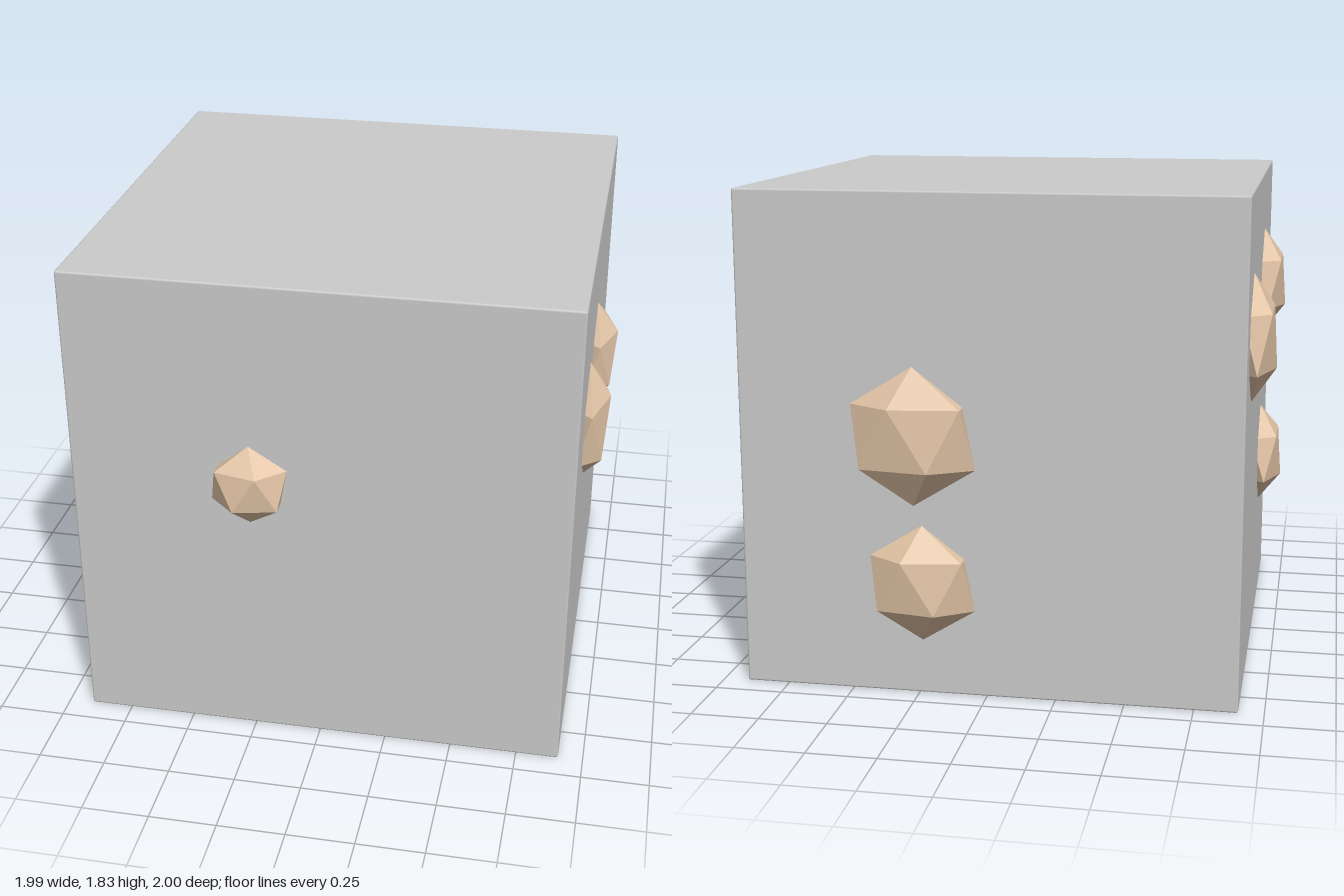
import * as THREE from 'three';
import { RoundedBoxGeometry } from 'three/addons/geometries/RoundedBoxGeometry.js';
import { ConvexGeometry } from 'three/addons/geometries/ConvexGeometry.js';

// Unit icosahedron with its poles on y; upper ring points to +x, lower ring to -x
function lumpGeometry() {
  const h = 1 / Math.sqrt(5), r = 2 * h;
  const points = [new THREE.Vector3(0, 1, 0), new THREE.Vector3(0, -1, 0)];
  for (let i = 0; i < 5; i++) {
    const a = (i * 2 * Math.PI) / 5;
    points.push(new THREE.Vector3(r * Math.cos(a), h, r * Math.sin(a)));
    points.push(new THREE.Vector3(-r * Math.cos(a), -h, r * Math.sin(a)));
  }
  return new ConvexGeometry(points);
}

export function createModel() {
  const model = new THREE.Group();
  model.name = 'studdedBlock';
  const stone = new THREE.MeshStandardMaterial({ color: 0xcccccc });
  const tan = new THREE.MeshStandardMaterial({ color: 0xe2c4a6, flatShading: true });

  // Block with a very fine edge bevel
  const half = 0.908;
  const block = new THREE.Mesh(new RoundedBoxGeometry(2 * half, 1.828, 2 * half, 1, 0.008), stone);
  block.name = 'block';
  block.position.y = 0.916;
  model.add(block);

  // Flattened lumps on the side walls: [wall, position along wall, y, radius, depth]
  const lumps = [
    ['+x', 0.39, 1.17, 0.23, 0.092],
    ['+x', 0.055, 1.29, 0.2, 0.092],
    ['-x', -0.57, 1.295, 0.235, 0.1],
    ['-x', 0.26, 1.39, 0.21, 0.1],
    ['-x', 0.33, 0.66, 0.2, 0.1],
    ['+z', -0.245, 1.06, 0.155, 0.106],
    ['-z', 0.265, 0.96, 0.253, 0.107],
    ['-z', 0.235, 0.42, 0.215, 0.107],
  ];
  const geometry = lumpGeometry();
  lumps.forEach(([wall, along, y, radius, depth], i) => {
    const lump = new THREE.Mesh(geometry, tan);
    lump.name = `lump${i + 1}`;
    const out = wall[0] === '+' ? half : -half;
    if (wall[1] === 'x') {
      lump.position.set(out, y, along);
      lump.scale.set(depth, radius, radius);
    } else {
      lump.position.set(along, y, out);
      lump.scale.set(radius, radius, depth);
    }
    model.add(lump);
  });
  return model;
}
